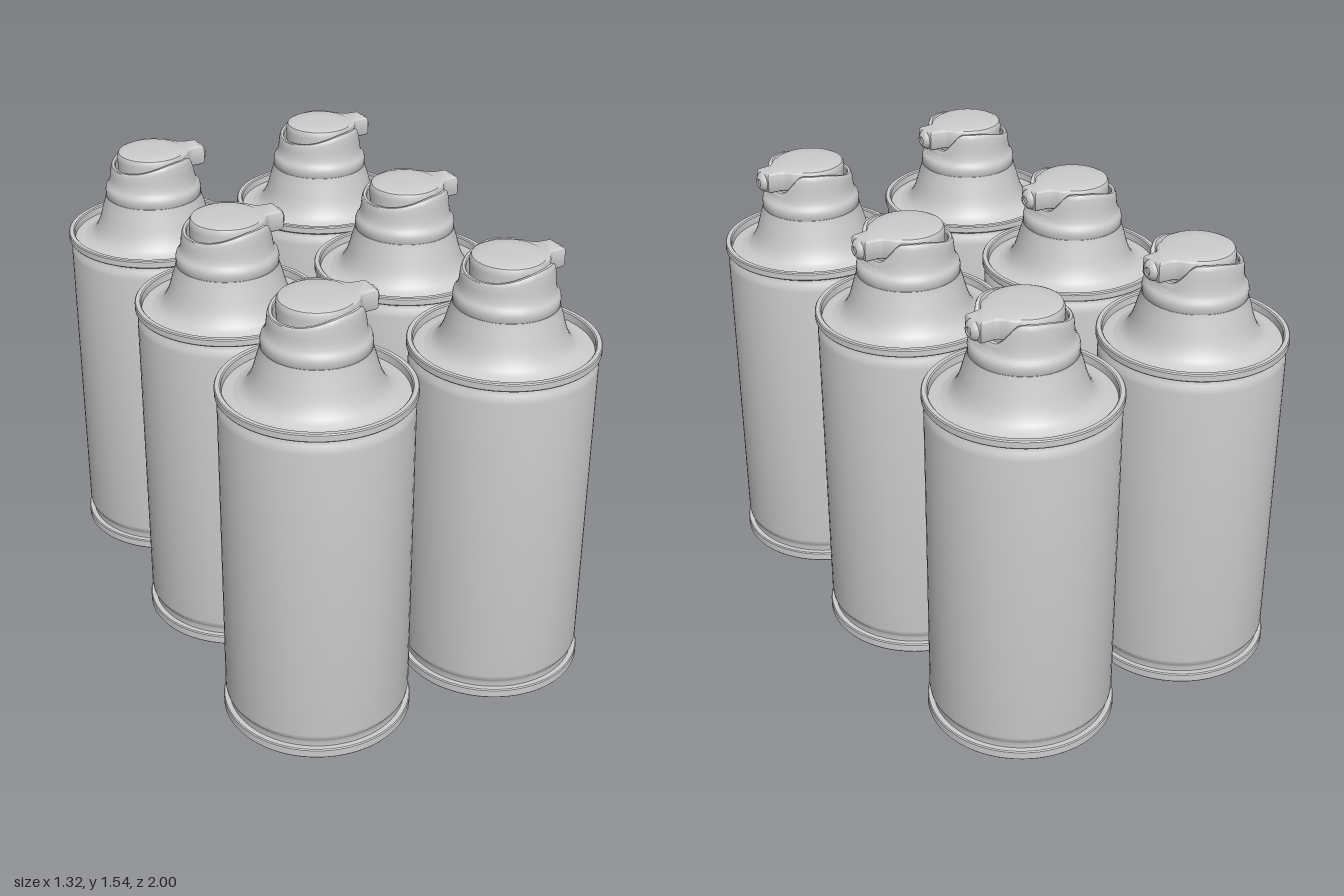
import * as THREE from 'three';
import { toCreasedNormals } from 'three/addons/utils/BufferGeometryUtils.js';

const material = new THREE.MeshStandardMaterial({ color: 0xcccccc, side: THREE.DoubleSide });
const SEGMENTS = 72;

const lathe = (profile) =>
  new THREE.LatheGeometry(profile.map(([r, y]) => new THREE.Vector2(r, y)), SEGMENTS);

function part(name, geometry, crease = 0.6) {
  const mesh = new THREE.Mesh(toCreasedNormals(geometry, crease), material);
  mesh.name = name;
  return mesh;
}

// Can body with rolled seams at both ends and a shallow recessed base
function canGeometry() {
  return lathe([
    [0, 0.008], [0.295, 0.008], [0.3, 0], [0.315, 0], [0.318, 0.004], [0.318, 0.03], [0.315, 0.034],
    [0.298, 0.034], [0.298, 0.052], [0.302, 0.062], [0.309, 0.072], [0.311, 0.085],
    [0.311, 1.15], [0.309, 1.165], [0.303, 1.178], [0.299, 1.188], [0.299, 1.198],
    [0.315, 1.198], [0.318, 1.202], [0.318, 1.222], [0.315, 1.226], [0.301, 1.226], [0.297, 1.222],
    [0.295, 1.198], [0.26, 1.203],
  ]);
}

// Flared shoulder rising from the rim to the collar
function shoulderGeometry() {
  return lathe([
    [0.262, 1.202], [0.24, 1.21], [0.225, 1.222], [0.213, 1.24], [0.203, 1.262],
    [0.194, 1.29], [0.186, 1.32], [0.178, 1.345], [0.174, 1.362], [0.15, 1.362],
  ]);
}

// Height of the shroud's rim: low at the back, high at the sides, notched for the nozzle (+x)
function rimHeight(angle) {
  const notch = THREE.MathUtils.smoothstep(Math.abs(angle), 0.3, 0.9);
  const crest = 1.475 + 0.042 * THREE.MathUtils.smoothstep(Math.cos(angle), -1.1, 0.3);
  return THREE.MathUtils.lerp(1.445, crest, notch);
}

// Collar and shroud: everything above the collar is stretched to the rim height
function shroudGeometry() {
  const base = 1.405, top = 1.5;
  const geometry = lathe([
    [0.16, 1.358], [0.17, 1.358], [0.173, 1.363], [0.174, 1.385], [0.171, 1.398], [0.165, 1.405],
    [0.16, 1.418], [0.156, 1.435], [0.154, 1.46], [0.152, 1.485], [0.149, 1.497], [0.146, 1.5],
    [0.137, 1.5], [0.134, 1.495], [0.134, 1.406], [0, 1.406],
  ]);
  const p = geometry.attributes.position;
  for (let i = 0; i < p.count; i++) {
    const y = p.getY(i);
    if (y <= base) continue;
    const rim = rimHeight(Math.atan2(p.getZ(i), p.getX(i)));
    p.setY(i, base + (y - base) * (rim - base) / (top - base));
  }
  return geometry;
}

// Push button with a softly rounded top
function buttonGeometry() {
  return lathe([
    [0.122, 1.4], [0.125, 1.5], [0.124, 1.514], [0.119, 1.523], [0.108, 1.528], [0.06, 1.531], [0, 1.532],
  ]);
}

// Spout joining the button to the nozzle
function spoutGeometry() {
  const shape = new THREE.Shape();
  shape.moveTo(0.06, -0.09);
  shape.bezierCurveTo(0.12, -0.08, 0.1, -0.034, 0.15, -0.033);
  shape.lineTo(0.178, -0.031);
  shape.lineTo(0.178, 0.031);
  shape.lineTo(0.15, 0.033);
  shape.bezierCurveTo(0.1, 0.034, 0.12, 0.08, 0.06, 0.09);
  shape.closePath();
  const geometry = new THREE.ExtrudeGeometry(shape, {
    depth: 0.046, bevelThickness: 0.013, bevelSize: 0.011, bevelSegments: 4, curveSegments: 12,
  });
  return geometry.rotateX(-Math.PI / 2).translate(0, 1.465, 0);
}

// Rounded nozzle tip pointing along +x
function nozzleGeometry() {
  const profile = [[0, 0.15], [0.034, 0.15], [0.036, 0.185], [0.032, 0.194], [0.022, 0.203], [0.014, 0.206],
    [0.011, 0.202], [0, 0.2]];
  const geometry = new THREE.LatheGeometry(profile.map(([r, y]) => new THREE.Vector2(r, y)), 24);
  return geometry.rotateZ(-Math.PI / 2).translate(0, 1.486, 0);
}

export function createModel() {
  const model = new THREE.Group();
  model.name = 'sprayCans';

  const can = new THREE.Group();
  can.add(
    part('canBody', canGeometry()),
    part('shoulder', shoulderGeometry()),
    part('shroud', shroudGeometry()),
    part('button', buttonGeometry()),
    part('spout', spoutGeometry()),
    part('nozzle', nozzleGeometry()),
  );

  // Two columns of three cans, slightly offset from one another
  const columns = [
    { x: -0.343, y: 0.005, z: 0.004, turn: 0 },
    { x: 0.341, y: 0, z: -0.007, turn: 0.03 },
  ];
  columns.forEach(({ x, y, z, turn }, c) => {
    for (let row = -1; row <= 1; row++) {
      const copy = can.clone();
      copy.name = `sprayCan${c * 3 + row + 2}`;
      copy.position.set(x, y, z + row * 0.676);
      copy.rotation.y = turn;
      model.add(copy);
    }
  });
  return model;
}
